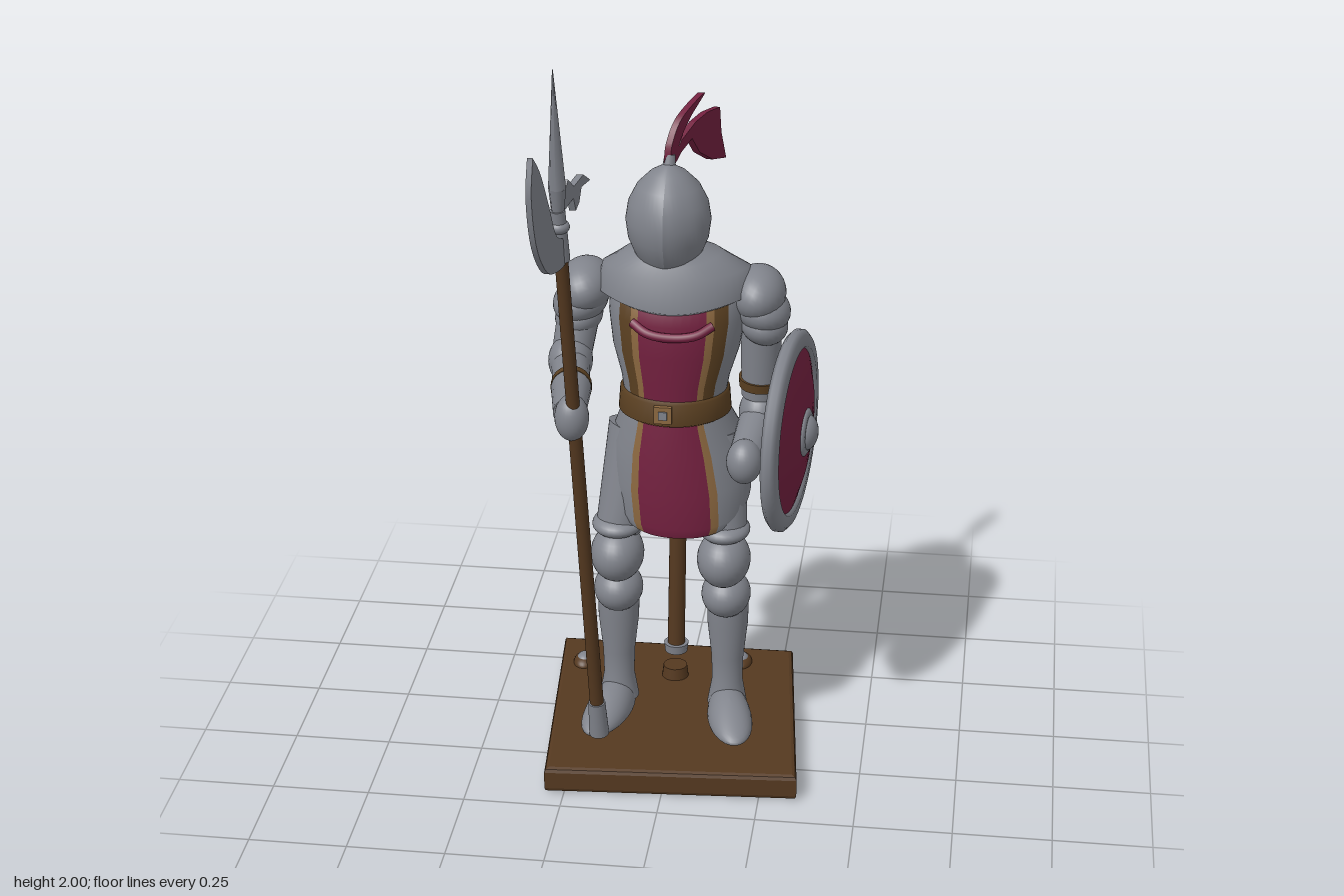
import * as THREE from 'three';

const mat = (name, color) => {
  const m = new THREE.MeshStandardMaterial({ color, side: THREE.DoubleSide });
  m.name = name;
  return m;
};

export function createModel() {
  const root = new THREE.Group();
  root.name = 'armouredGuard';
  const steel = mat('steel', 0x81848c);
  const crimson = mat('crimson', 0x73203f);
  const wood = mat('wood', 0x553920);
  const leather = mat('leather', 0x5c4122);
  const tan = mat('tan', 0x8c6840);
  const V = (p) => new THREE.Vector3(...p);

  const add = (name, geo, material, parent = root) => {
    const m = new THREE.Mesh(geo, material);
    m.name = name;
    parent.add(m);
    return m;
  };
  const ball = (name, p, r, material = steel, parent = root) => {
    const m = add(name, new THREE.SphereGeometry(1, 28, 18), material, parent);
    m.position.set(...p);
    m.scale.set(...r);
    return m;
  };
  const limb = (name, a, b, r0, r1, material = steel, sides = 20) => {
    const d = V(b).sub(V(a));
    const m = add(name, new THREE.CylinderGeometry(r1, r0, d.length(), sides), material);
    m.position.copy(V(a)).addScaledVector(d, 0.5);
    m.quaternion.setFromUnitVectors(new THREE.Vector3(0, 1, 0), d.normalize());
    return m;
  };
  const lathe = (pts, seg = 40) =>
    new THREE.LatheGeometry(pts.map((p) => new THREE.Vector2(...p)), seg);

  // Upright plate from (z, y) outline points; x follows z by a rule
  const plate = (name, pts, thick, xOf, material, curved = true) => {
    const flat = pts.map(([z, y]) => new THREE.Vector2(-z, y));
    const shape = new THREE.Shape();
    shape.moveTo(flat[0].x, flat[0].y);
    if (curved) shape.splineThru(flat.slice(1));
    else flat.slice(1).forEach((p) => shape.lineTo(p.x, p.y));
    const g = new THREE.ExtrudeGeometry(shape, { depth: thick, bevelEnabled: false, curveSegments: 30 });
    const a = g.attributes.position;
    for (let i = 0; i < a.count; i++) {
      const z = -a.getX(i);
      a.setXYZ(i, a.getZ(i) - thick / 2 + xOf(z), a.getY(i), z);
    }
    g.computeVertexNormals();
    return add(name, g, material);
  };

  // Loft of oval rows [y, cx, cz, rx, rz], bottom to top; pick(column) gives a material index
  const N = 48;
  const loft = (name, rows, materials, pick = () => 0, lift = (y) => y) => {
    const pos = [];
    const lists = materials.map(() => []);
    rows.forEach(([y, cx, cz, rx, rz], i) => {
      for (let j = 0; j < N; j++) {
        const a = (j / N) * Math.PI * 2;
        pos.push(cx + rx * Math.sin(a), lift(y, a, i), cz + rz * Math.cos(a));
        if (i + 1 < rows.length) {
          const k = (j + 1) % N, p = i * N, q = p + N;
          lists[pick(j)].push(p + j, p + k, q + k, p + j, q + k, q + j);
        }
      }
    });
    const g = new THREE.BufferGeometry();
    g.setAttribute('position', new THREE.Float32BufferAttribute(pos, 3));
    g.setIndex(lists.flat());
    let start = 0;
    lists.forEach((l, i) => { g.addGroup(start, l.length, i); start += l.length; });
    g.computeVertexNormals();
    return add(name, g, materials);
  };

  // Base board with pegs and support pole
  const board = new THREE.Shape([[-0.355, 0.5], [0.28, 0.505], [0.347, -0.148], [-0.3, -0.19]]
    .reverse().map((p) => new THREE.Vector2(...p)));
  const boardGeo = new THREE.ExtrudeGeometry(board, {
    depth: 0.046, bevelSize: 0.012, bevelOffset: -0.012, bevelThickness: 0.012, bevelSegments: 2 });
  boardGeo.rotateX(-Math.PI / 2).translate(0, 0.012, 0);
  add('baseBoard', boardGeo, wood);
  [[-0.28, -0.37], [0.145, -0.42]].forEach(([x, z]) => {
    ball('basePeg', [x, 0.07, z], [0.03, 0.022, 0.042], wood);
    ball('basePegCap', [x, 0.082, z], [0.02, 0.015, 0.026], steel);
  });
  limb('poleSocket', [-0.025, 0.06, -0.33], [-0.025, 0.102, -0.33], 0.037, 0.032, wood);
  limb('poleFerrule', [-0.022, 0.15, -0.325], [-0.022, 0.175, -0.325], 0.03, 0.033);
  limb('supportPole', [-0.022, 0.175, -0.325], [-0.01, 1.22, -0.335], 0.023, 0.021, wood);

  // Legs
  [[1, 0.128, 0.15], [-1, -0.148, -0.172]].forEach(([s, x, footX]) => {
    limb('thigh', [s * 0.085, 0.88, -0.18], [x, 0.62, -0.12], 0.095, 0.058);
    ball('kneeRim', [x, 0.635, -0.12], [0.066, 0.03, 0.075]);
    ball('kneeGuard', [x, 0.555, -0.107], [0.069, 0.075, 0.085]);
    ball('calfGuard', [x + s * 0.003, 0.435, -0.143], [0.064, 0.062, 0.075]);
    const shin = add('greave', lathe([[0.052, 0.1], [0.04, 0.17], [0.042, 0.24], [0.053, 0.34], [0.055, 0.42]]), steel);
    shin.position.set(x + s * 0.006, 0, -0.163);
    const foot = add('boot', new THREE.SphereGeometry(1, 28, 18), steel);
    // flat sole, instep rising toward the heel
    const a = foot.geometry.attributes.position;
    for (let i = 0; i < a.count; i++) {
      const z = a.getZ(i), y = a.getY(i);
      a.setY(i, y < 0 ? y * 0.35 : y * (0.95 - 0.5 * z));
    }
    foot.geometry.computeVertexNormals();
    foot.scale.set(0.058, 0.062, 0.132);
    foot.position.set(footX, 0.091, -0.083);
    foot.rotation.y = s * 0.22;
  });

  // Surcoat: bands of colour run down the front and back
  const band = (sideBand) => (j) => {
    const d = Math.min(j, N - 1 - j);
    const c = Math.min(d, N / 2 - 1 - d);
    return c < 4 ? 0 : c === 4 ? 1 : c < 7 ? sideBand : 2;
  };
  const cloth = [crimson, tan, steel, leather];
  ball('hips', [0, 0.85, -0.18], [0.145, 0.13, 0.115]);
  loft('surcoatSkirt', [
    [0.645, 0.012, -0.165, 0.165, 0.138], [0.67, 0.012, -0.165, 0.178, 0.145],
    [0.76, 0.006, -0.165, 0.181, 0.143], [0.86, 0, -0.163, 0.164, 0.135],
    [0.94, -0.004, -0.16, 0.138, 0.122], [1.0, -0.005, -0.16, 0.126, 0.115],
  ], cloth, band(2), (y, a) => y + (1 - y) * 0.55 * Math.pow((1 - Math.cos(a)) / 2, 1.5));
  loft('surcoatBody', [
    [0.98, -0.005, -0.16, 0.126, 0.115], [1.05, -0.004, -0.162, 0.137, 0.12],
    [1.13, -0.002, -0.165, 0.16, 0.128], [1.22, 0, -0.168, 0.172, 0.132],
    [1.29, 0, -0.175, 0.168, 0.12], [1.35, 0, -0.18, 0.12, 0.08],
  ], cloth, band(3));
  loft('belt', [
    [0.95, -0.005, -0.16, 0.132, 0.12], [0.957, -0.005, -0.16, 0.143, 0.129],
    [1.012, -0.005, -0.16, 0.139, 0.126], [1.018, -0.005, -0.16, 0.128, 0.116],
  ], [leather]);
  add('buckle', new THREE.BoxGeometry(0.045, 0.045, 0.012), tan).position.set(-0.02, 0.988, -0.029);
  add('buckleCentre', new THREE.BoxGeometry(0.022, 0.022, 0.009), steel).position.set(-0.02, 0.988, -0.024);
  const fold = new THREE.CatmullRomCurve3([[-0.1, 1.222, -0.06], [-0.06, 1.203, -0.038],
    [0, 1.196, -0.033], [0.06, 1.203, -0.038], [0.1, 1.222, -0.06]].map(V));
  add('chestFold', new THREE.TubeGeometry(fold, 24, 0.012, 8), crimson);

  // Shoulder mantle, hanging low at the back
  const dip = [0.14, 0.14, 0.06, 0.01, 0];
  loft('mantle', [
    [1.285, -0.006, -0.2, 0.19, 0.155], [1.295, -0.006, -0.2, 0.206, 0.17],
    [1.348, -0.006, -0.195, 0.184, 0.142], [1.378, -0.012, -0.17, 0.12, 0.105],
    [1.4, -0.02, -0.145, 0.07, 0.07],
  ], [steel], undefined, (y, a, i) => {
    const back = (1 - Math.cos(a)) / 2, front = Math.max(0, Math.cos(a));
    return y - dip[i] * back * back - (i < 2 ? 0.035 : 0.012) * front * front;
  });

  // Helmet with a soft ridge down the face
  const helm = lathe([[0, 1.325], [0.045, 1.338], [0.08, 1.375], [0.1, 1.425], [0.106, 1.47],
    [0.099, 1.515], [0.078, 1.557], [0.045, 1.59], [0.015, 1.607], [0, 1.61]], 48);
  const hp = helm.attributes.position;
  for (let i = 0; i < hp.count; i++) {
    const z = hp.getZ(i);
    if (z > 0) hp.setZ(i, z * (1 + 0.1 * Math.max(0, 1 - Math.abs(hp.getX(i)) / 0.06)));
  }
  helm.computeVertexNormals();
  add('helmet', helm, steel).position.set(-0.02, 0, -0.143);
  limb('plumeHolder', [-0.02, 1.59, -0.15], [-0.018, 1.63, -0.157], 0.018, 0.013);
  const plumeX = (z) => -0.02 + (-0.15 - z) * 0.46;
  plate('tallFeather', [[-0.143, 1.61], [-0.152, 1.66], [-0.195, 1.713], [-0.288, 1.746],
    [-0.225, 1.7], [-0.185, 1.655], [-0.168, 1.61]], 0.016, plumeX, crimson);
  plate('broadFeather', [[-0.15, 1.612], [-0.19, 1.655], [-0.25, 1.683], [-0.3, 1.692], [-0.355, 1.688],
    [-0.362, 1.62], [-0.384, 1.545], [-0.325, 1.56], [-0.268, 1.598], [-0.235, 1.645], [-0.19, 1.625], [-0.16, 1.6]],
    0.016, plumeX, crimson, false);

  // Layered shoulder guards
  [[1, 0.2], [-1, -0.235]].forEach(([s, x]) => {
    [[0, 1.265, 0.07, 0.068], [0.012, 1.225, 0.072, 0.055], [0.016, 1.185, 0.062, 0.05]].forEach(([dx, y, rx, ry], i) => {
      ball('shoulderGuard', [x + s * dx, y, -0.188 + i * 0.004], [rx, ry, 0.098 - i * 0.012]).rotation.z = -s * 0.35;
    });
  });

  // Right arm, bent forward to hold the polearm
  limb('rightUpperArm', [-0.245, 1.23, -0.185], [-0.265, 1.09, -0.135], 0.055, 0.05);
  ball('rightElbow', [-0.265, 1.085, -0.12], [0.056, 0.066, 0.066]);
  limb('rightForearm', [-0.265, 1.08, -0.12], [-0.24, 1.078, 0.03], 0.05, 0.045);
  limb('rightCuff', [-0.242, 1.078, 0.012], [-0.239, 1.078, 0.036], 0.051, 0.051, leather);
  limb('rightGauntlet', [-0.239, 1.078, 0.036], [-0.222, 1.074, 0.17], 0.05, 0.04);
  ball('rightHand', [-0.214, 1.07, 0.185], [0.042, 0.06, 0.042]);

  // Left arm, behind the shield
  limb('leftUpperArm', [0.21, 1.22, -0.188], [0.205, 0.98, -0.205], 0.055, 0.046);
  limb('leftArmStrap', [0.206, 1.03, -0.202], [0.205, 1.005, -0.204], 0.054, 0.052, leather);
  ball('leftElbow', [0.207, 0.93, -0.205], [0.054, 0.066, 0.064]);
  limb('leftForearm', [0.205, 0.915, -0.2], [0.19, 0.885, -0.02], 0.05, 0.044);
  ball('leftHand', [0.187, 0.882, -0.01], [0.045, 0.058, 0.05]);

  // Round shield
  const shield = new THREE.Group();
  shield.name = 'shield';
  shield.position.set(0.285, 0.886, -0.195);
  shield.rotation.y = -0.14;
  root.add(shield);
  [['shieldRim', [[0.218, -0.02], [0.248, -0.019], [0.26, -0.008], [0.26, 0.008], [0.248, 0.019], [0.218, 0.022], [0.212, 0.01]], steel],
    ['shieldFace', [[0.22, 0.01], [0.16, 0.028], [0.09, 0.04], [0, 0.044]], crimson],
    ['shieldBack', [[0, -0.008], [0.222, -0.008]], crimson],
    ['shieldBossRing', [[0.062, 0.03], [0.062, 0.044], [0.052, 0.05], [0, 0.05]], steel],
  ].forEach(([name, pts, m]) => add(name, lathe(pts, 56).rotateZ(-Math.PI / 2), m, shield));
  ball('shieldBoss', [0.042, 0, 0], [0.031, 0.047, 0.047], steel, shield);

  // Polearm
  const along = (t) => [-0.18 - 0.042 * t, 0.15 + 1.45 * t, 0.05 + 0.228 * t];
  limb('polearmFoot', along(-0.035), along(0.035), 0.026, 0.022);
  limb('polearmShaft', along(0.03), along(0.98), 0.018, 0.016, wood);
  limb('polearmSocket', along(0.94), along(1.03), 0.021, 0.018);
  ball('polearmCollar', along(1.0), [0.026, 0.018, 0.026]);
  limb('spikeNeck', along(1.02), [-0.222, 1.7, 0.291], 0.014, 0.021, steel, 8);
  limb('spike', [-0.222, 1.7, 0.291], [-0.222, 1.995, 0.326], 0.021, 0.001, steel, 8);
  plate('axeBlade', [[0.495, 1.845], [0.511, 1.75], [0.48, 1.625], [0.4, 1.532], [0.29, 1.506], [0.268, 1.53],
    [0.272, 1.565], [0.34, 1.603], [0.39, 1.695], [0.445, 1.79], [0.495, 1.845]], 0.013,
    (z) => -0.215 - (z - 0.28) * 0.15, steel);
  plate('backHook', [[0.278, 1.66], [0.248, 1.705], [0.218, 1.678], [0.17, 1.69], [0.135, 1.665], [0.18, 1.663],
    [0.192, 1.63], [0.21, 1.615], [0.222, 1.65], [0.272, 1.635]], 0.016,
    (z) => -0.218 + (0.27 - z) * 0.3, steel, false);

  return root;
}
